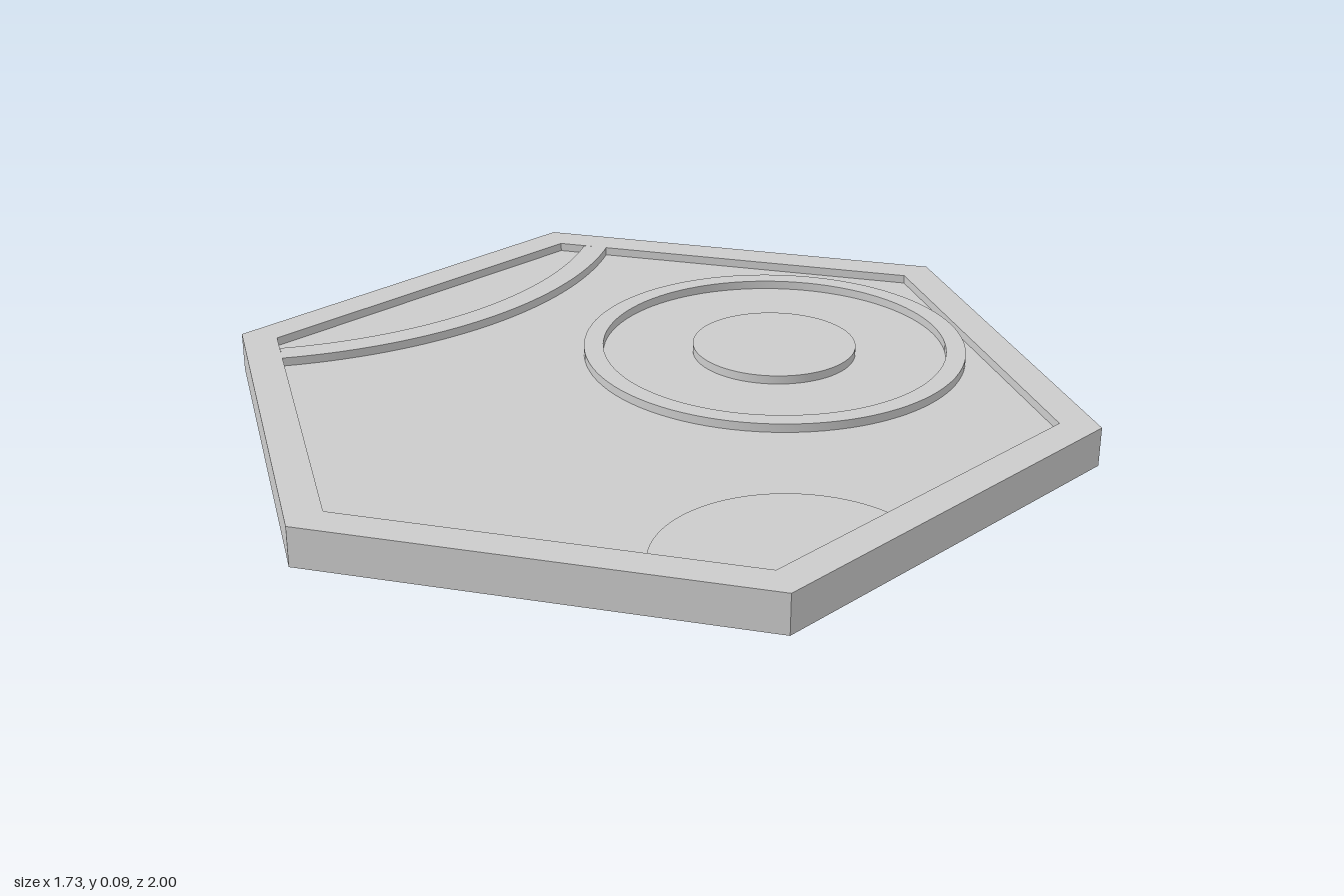
import * as THREE from 'three';
import { toCreasedNormals } from 'three/addons/utils/BufferGeometryUtils.js';

const FLOOR = 0.07, TOP = 0.09;
const material = new THREE.MeshStandardMaterial({ color: 0xcccccc });

// Regular hexagon with points on the z axis
function hexagon(radius, Type = THREE.Shape) {
  const points = [];
  for (let i = 0; i < 6; i++) {
    const a = Math.PI / 2 + i * Math.PI / 3;
    points.push(new THREE.Vector2(radius * Math.cos(a), radius * Math.sin(a)));
  }
  return new Type(points);
}

function circle(x, z, radius, Type = THREE.Shape) {
  const shape = new Type();
  shape.absarc(x, -z, radius, 0, Math.PI * 2, false);
  return shape;
}

// Raise a plan drawn as (x, -z) from height y0 to y1
function slab(name, shape, y0, y1) {
  const extruded = new THREE.ExtrudeGeometry(shape, { depth: y1 - y0, bevelEnabled: false, curveSegments: 48 });
  extruded.rotateX(-Math.PI / 2).translate(0, y0, 0);
  const mesh = new THREE.Mesh(toCreasedNormals(extruded, 0.6), material);
  mesh.name = name;
  return mesh;
}

export function createModel() {
  const group = new THREE.Group();
  group.name = 'hexTile';

  // Solid base and raised border
  group.add(slab('base', hexagon(1), 0, FLOOR));
  const rim = hexagon(1);
  rim.holes.push(hexagon(0.91, THREE.Path));
  group.add(slab('rim', rim, FLOOR, TOP));

  // Circular ring with a disc at its centre
  const cx = 0.06, cz = -0.35;
  const ring = circle(cx, cz, 0.445);
  ring.holes.push(circle(cx, cz, 0.4, THREE.Path));
  group.add(slab('ring', ring, FLOOR, TOP));
  group.add(slab('centreDisc', circle(cx, cz, 0.19), FLOOR, TOP));

  // Curved rib across the right side, flush with the rim
  const rib = new THREE.Shape();
  rib.absarc(-1.49, 0, 0.96, -0.57, 0.57, false);
  rib.absarc(-1.49, 0, 0.9, 0.57, -0.57, true);
  rib.closePath();
  group.add(slab('curvedRib', rib, FLOOR, TOP));

  // Low rounded plate filling the front left corner
  const plate = new THREE.Shape();
  plate.absarc(0.785, -0.4, 0.28, Math.PI / 2, 3.85, false);
  plate.lineTo(0.785, -0.455);
  plate.closePath();
  group.add(slab('cornerPlate', plate, FLOOR, TOP - 0.004));

  return group;
}
